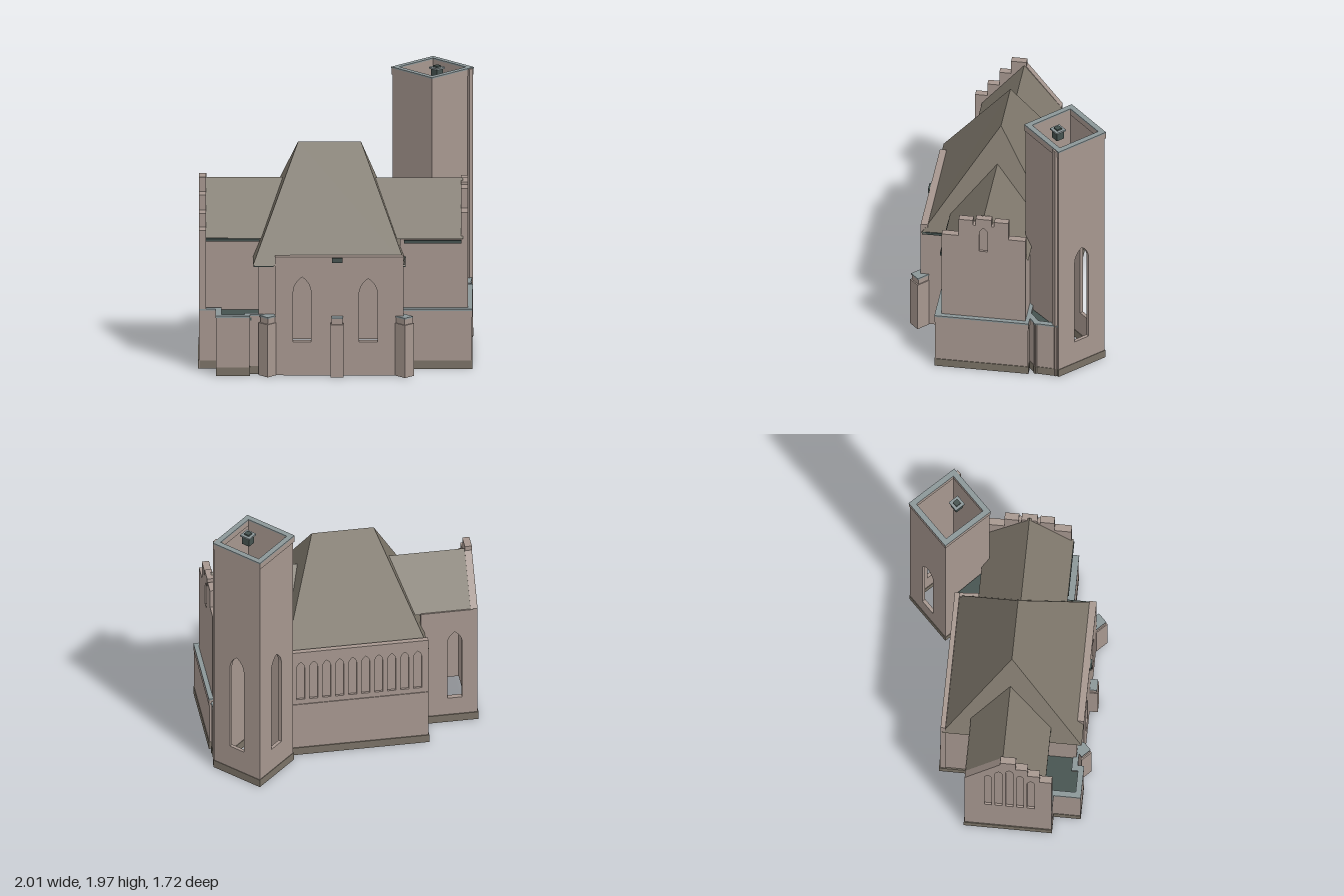
import * as THREE from 'three';

const mat = (name, color, side = THREE.FrontSide) => {
  const m = new THREE.MeshStandardMaterial({ color, side });
  m.name = name;
  return m;
};

export function createModel() {
  const stone = mat('pinkish stone', 0xa6978f);
  const roofing = mat('roof tile', 0x7f786c, THREE.DoubleSide);
  const base = mat('base course', 0x7a7266);
  const coping = mat('grey coping', 0x8b9698);
  const slate = mat('dark slate', 0x45524f);

  const model = new THREE.Group();
  model.name = 'church';
  const body = new THREE.Group();
  body.name = 'churchBody';
  body.rotation.y = THREE.MathUtils.degToRad(16);
  model.add(body);

  const add = (parent, name, geo, material) => {
    const m = new THREE.Mesh(geo, material);
    m.name = name;
    parent.add(m);
    return m;
  };
  const box = (parent, name, material, x0, x1, y0, y1, z0, z1) => {
    const m = add(parent, name, new THREE.BoxGeometry(x1 - x0, y1 - y0, z1 - z0), material);
    m.position.set((x0 + x1) / 2, (y0 + y1) / 2, (z0 + z1) / 2);
    return m;
  };
  // Thin wall or moulding following a plan path of [x, z] points
  const run = (parent, name, material, path, y0, y1, t) => {
    for (let i = 0; i < path.length - 1; i++) {
      const [ax, az] = path[i], [bx, bz] = path[i + 1];
      const geo = new THREE.BoxGeometry(Math.hypot(bx - ax, bz - az) + t, y1 - y0, t);
      const m = add(parent, name, geo, material);
      m.position.set((ax + bx) / 2, (y0 + y1) / 2, (az + bz) / 2);
      m.rotation.y = -Math.atan2(bz - az, bx - ax);
    }
  };
  const vecs = pts => pts.map(p => new THREE.Vector2(p[0], p[1]));
  const rect = (x0, x1, y0, y1) => [[x0, y0], [x1, y0], [x1, y1], [x0, y1]];
  // Pointed arch opening: centre, width, sill, apex
  const lancet = (cx, w, y0, y1) => {
    const h = w / 2, s = y1 - w * 0.95, p = new THREE.Path();
    p.moveTo(cx - h, y0);
    p.lineTo(cx - h, s);
    p.quadraticCurveTo(cx - h, s + w * 0.6, cx, y1);
    p.quadraticCurveTo(cx + h, s + w * 0.6, cx + h, s);
    p.lineTo(cx + h, y0);
    p.closePath();
    return p;
  };
  // Upright slab whose outer face passes through (x, z) and faces the turned +z
  const slab = (parent, name, pts, holes, depth, x, z, rot, setback = 0) => {
    const shape = new THREE.Shape(vecs(pts));
    shape.holes.push(...holes);
    const geo = new THREE.ExtrudeGeometry(shape, { depth, bevelEnabled: false, curveSegments: 6 });
    geo.translate(0, 0, -depth - setback);
    const m = add(parent, name, geo, stone);
    m.position.set(x, 0, z);
    m.rotation.y = rot;
    return m;
  };
  // Wall with blind niches: pierced skin over a solid panel
  const niched = (parent, name, pts, holes, x, z, rot, depth) => {
    slab(parent, name, pts, holes, 0.015, x, z, rot);
    slab(parent, name + 'Backing', pts, [], depth - 0.015, x, z, rot, 0.015);
  };
  const deck = (name, pts, y) => {
    const geo = new THREE.ExtrudeGeometry(new THREE.Shape(vecs(pts.map(p => [p[0], -p[1]]))),
      { depth: 0.02, bevelEnabled: false });
    geo.rotateX(-Math.PI / 2);
    add(body, name, geo, slate).position.y = y;
  };
  const faces = (name, points, tris) => {
    const geo = new THREE.BufferGeometry();
    geo.setAttribute('position', new THREE.Float32BufferAttribute(tris.flatMap(i => points[i]), 3));
    geo.computeVertexNormals();
    return add(body, name, geo, roofing);
  };

  // Main hipped roof
  faces('naveRoof', [
    [-0.30, 1.55, 0.10], [0.137, 1.55, 0.10],
    [-0.616, 0.79, 0.62], [0.452, 0.79, 0.615],
    [0.41, 0.79, -0.36], [-0.616, 0.79, -0.36],
  ], [0, 2, 3, 0, 3, 1, 1, 3, 4, 1, 4, 5, 1, 5, 0, 0, 5, 2]);
  // Wing roofs
  const wingRoof = (name, u0, u1, back, front, ridge, yb) => faces(name, [
    [u0, 1.29, ridge], [u1, 1.29, ridge], [u0, 0.93, front], [u1, 0.93, front], [u0, yb, back], [u1, yb, back],
  ], [0, 2, 3, 0, 3, 1, 0, 1, 5, 0, 5, 4]);
  wingRoof('westWingRoof', -0.96, -0.38, -0.165, 0.40, 0.10, 0.95);
  wingRoof('eastWingRoof', 0.21, 0.85, -0.20, 0.42, 0.11, 0.93);

  // Nave walls
  slab(body, 'naveFrontWall', rect(-0.46, 0.435, 0, 0.855),
    [lancet(-0.272, 0.125, 0.24, 0.71), lancet(0.19, 0.13, 0.24, 0.70)], 0.05, 0, 0.622, 0);
  run(body, 'naveWestWall', stone, [[-0.46, 0.565], [-0.56, 0.565], [-0.56, 0.37]], 0, 0.79, 0.03);
  run(body, 'naveWestBackWall', stone, [[-0.59, -0.15], [-0.59, -0.35]], 0, 0.80, 0.03);
  run(body, 'naveEastWall', stone, [[0.42, 0.58], [0.42, 0.40]], 0, 0.80, 0.03);
  run(body, 'naveEastBackWall', stone, [[0.40, -0.18], [0.39, -0.34]], 0, 0.86, 0.03);
  run(body, 'eavesMoulding', slate, [[-0.49, 0.59], [-0.59, 0.59], [-0.59, 0.39]], 0.78, 0.80, 0.04);
  run(body, 'eavesMoulding', slate, [[0.435, 0.595], [0.435, 0.41]], 0.78, 0.80, 0.03);

  // Back wall with blind arcade
  const arcade = [];
  for (let i = 0; i < 10; i++) arcade.push(lancet(0.535 - i * 0.092, 0.058, 0.47, 0.79));
  niched(body, 'naveBackWall', rect(-0.40, 0.61, 0.43, 0.875), arcade, 0, -0.37, Math.PI, 0.035);
  slab(body, 'naveBackLowerWall', rect(-0.40, 0.61, 0, 0.43), [], 0.04, 0, -0.375, Math.PI);

  // West gable: sloped behind, stepped in front
  niched(body, 'westGable', [
    [-0.163, 0], [0.447, 0], [0.447, 1.0], [0.361, 1.0], [0.361, 1.1], [0.277, 1.1], [0.277, 1.21],
    [0.194, 1.21], [0.194, 1.315], [0.085, 1.315], [0.085, 1.28], [-0.163, 0.955],
  ], [[0, 1.04], [0.075, 1.13], [0.15, 1.17], [0.225, 1.08], [0.3, 0.99]]
    .map(([c, top]) => lancet(c, 0.05, 0.45, top)), -0.992, 0, -Math.PI / 2, 0.05);
  slab(body, 'westWingBackWall', rect(0.59, 0.98, 0, 0.955),
    [lancet(0.83, 0.105, 0.2, 0.77)], 0.035, 0, -0.163, Math.PI);
  box(body, 'westWingFrontWall', stone, -0.95, -0.56, 0, 0.93, 0.35, 0.38);
  box(body, 'westEavesMoulding', slate, -0.95, -0.57, 0.905, 0.925, 0.38, 0.4);

  // East wing: stepped gable over a thicker lower stage
  const steps = [[0.295, 0.43], [0.295, 1.12], [0.175, 1.12], [0.175, 1.26], [0.075, 1.26], [0.075, 1.22],
    [0.055, 1.22], [0.055, 1.275]];
  const c = -0.11;
  niched(body, 'eastGable', [
    ...steps.map(([x, y]) => [c + x, y]), ...steps.slice().reverse().map(([x, y]) => [c - x, y]),
  ], [lancet(c, 0.06, 1.0, 1.2)], 0.885, 0, Math.PI / 2, 0.05);
  box(body, 'eastWingFrontWall', stone, 0.41, 0.87, 0.4, 0.93, 0.37, 0.402);
  box(body, 'eastWingBackWall', stone, 0.41, 0.87, 0.4, 0.94, -0.185, -0.155);
  box(body, 'eastEavesMoulding', slate, 0.44, 0.84, 0.9, 0.92, 0.40, 0.425);
  const eastPath = [[0.425, 0.425], [0.89, 0.425], [0.89, -0.185], [0.69, -0.185]];
  run(body, 'eastLowerWall', stone, eastPath, 0, 0.425, 0.045);
  run(body, 'eastStringCourse', stone, eastPath, 0.375, 0.42, 0.052);
  run(body, 'eastCoping', coping, eastPath, 0.42, 0.432, 0.054);
  run(body, 'eastBase', base, eastPath.slice(0, 3), 0, 0.06, 0.053);

  // Low annex beside the west wing
  const annexPath = [[-0.97, 0.43], [-0.855, 0.43], [-0.855, 0.62], [-0.655, 0.62], [-0.655, 0.575], [-0.56, 0.575]];
  run(body, 'annexWall', stone, annexPath, 0, 0.42, 0.032);
  run(body, 'annexStringCourse', stone, annexPath, 0.375, 0.42, 0.038);
  run(body, 'annexCoping', coping, annexPath, 0.42, 0.432, 0.04);
  run(body, 'annexBase', base, annexPath, 0, 0.06, 0.038);
  deck('annexRoof', [[-0.97, 0.37], [-0.57, 0.37], [-0.57, 0.57], [-0.66, 0.61], [-0.85, 0.61], [-0.85, 0.43], [-0.97, 0.43]], 0.39);

  // Small corner annex and flat roofs around the tower
  const cornerPath = [[0.893, -0.40], [0.885, -0.265], [0.80, -0.2]];
  run(body, 'cornerAnnexWall', stone, cornerPath, 0, 0.42, 0.03);
  run(body, 'cornerAnnexCoping', coping, cornerPath, 0.42, 0.432, 0.038);
  run(body, 'cornerAnnexBase', base, cornerPath, 0, 0.06, 0.036);
  deck('cornerAnnexRoof', [[0.69, -0.19], [0.80, -0.19], [0.88, -0.27], [0.89, -0.40]], 0.39);
  deck('valleyRoof', [[0.40, -0.18], [0.6, -0.18], [0.40, -0.37]], 0.80);

  // Base course along the back and west end
  box(body, 'naveBackBase', base, -0.615, 0.40, 0, 0.06, -0.381, -0.371);
  box(body, 'naveWestBase', base, -0.615, -0.605, 0, 0.06, -0.38, -0.16);
  box(body, 'westBackBase', base, -0.995, -0.61, 0, 0.06, -0.169, -0.16);
  box(body, 'westGableBase', base, -0.998, -0.99, 0, 0.06, -0.169, 0.45);

  // Buttresses along the nave front
  [[-0.027, 0.64, 0], [-0.515, 0.62, -Math.PI / 4], [0.45, 0.635, Math.PI / 4]].forEach(([x, z, r]) => {
    const b = new THREE.Group();
    b.name = 'buttress';
    b.position.set(x, 0, z);
    b.rotation.y = r;
    box(b, 'buttressShaft', stone, -0.045, 0.045, 0, 0.38, -0.06, 0.04);
    box(b, 'buttressHead', stone, -0.038, 0.038, 0.38, 0.42, -0.06, 0.03);
    box(b, 'buttressCap', coping, -0.041, 0.041, 0.42, 0.43, -0.06, 0.034);
    body.add(b);
  });
  box(body, 'waterSpout', slate, -0.064, 0.01, 0.815, 0.85, 0.60, 0.635);

  // Tower: open square shaft
  const tower = new THREE.Group();
  tower.name = 'tower';
  tower.position.set(0.493, 0, -0.587);
  tower.rotation.y = -0.516;
  model.add(tower);
  const h = 0.197, t = 0.025;
  for (let i = 0; i < 4; i++) {
    const a = i * Math.PI / 2;
    slab(tower, 'towerWall', rect(-h, h, 0, 1.93), i > 1 ? [lancet(0, 0.12, 0.24, 1.03)] : [],
      t, Math.sin(a) * h, Math.cos(a) * h, a);
  }
  const k = h - t / 2;
  const ring = [[-k, -k], [k, -k], [k, k], [-k, k], [-k, -k]];
  run(tower, 'towerCornice', stone, ring, 1.89, 1.935, t + 0.012);
  run(tower, 'towerCoping', coping, ring, 1.935, 1.945, t + 0.014);
  run(tower, 'towerBase', base, ring, 0, 0.06, t + 0.008);
  box(tower, 'towerPilaster', stone, h - 0.01, h + 0.02, 0, 1.94, -h + 0.015, -h + 0.05);
  // Small vent cap within the tower head
  box(tower, 'ventBody', slate, 0.025, 0.085, 1.88, 1.945, -0.02, 0.04);
  box(tower, 'ventCap', coping, 0.015, 0.095, 1.945, 1.957, -0.03, 0.05);
  box(tower, 'ventLid', slate, 0.035, 0.075, 1.957, 1.968, -0.01, 0.03);
  return model;
}
